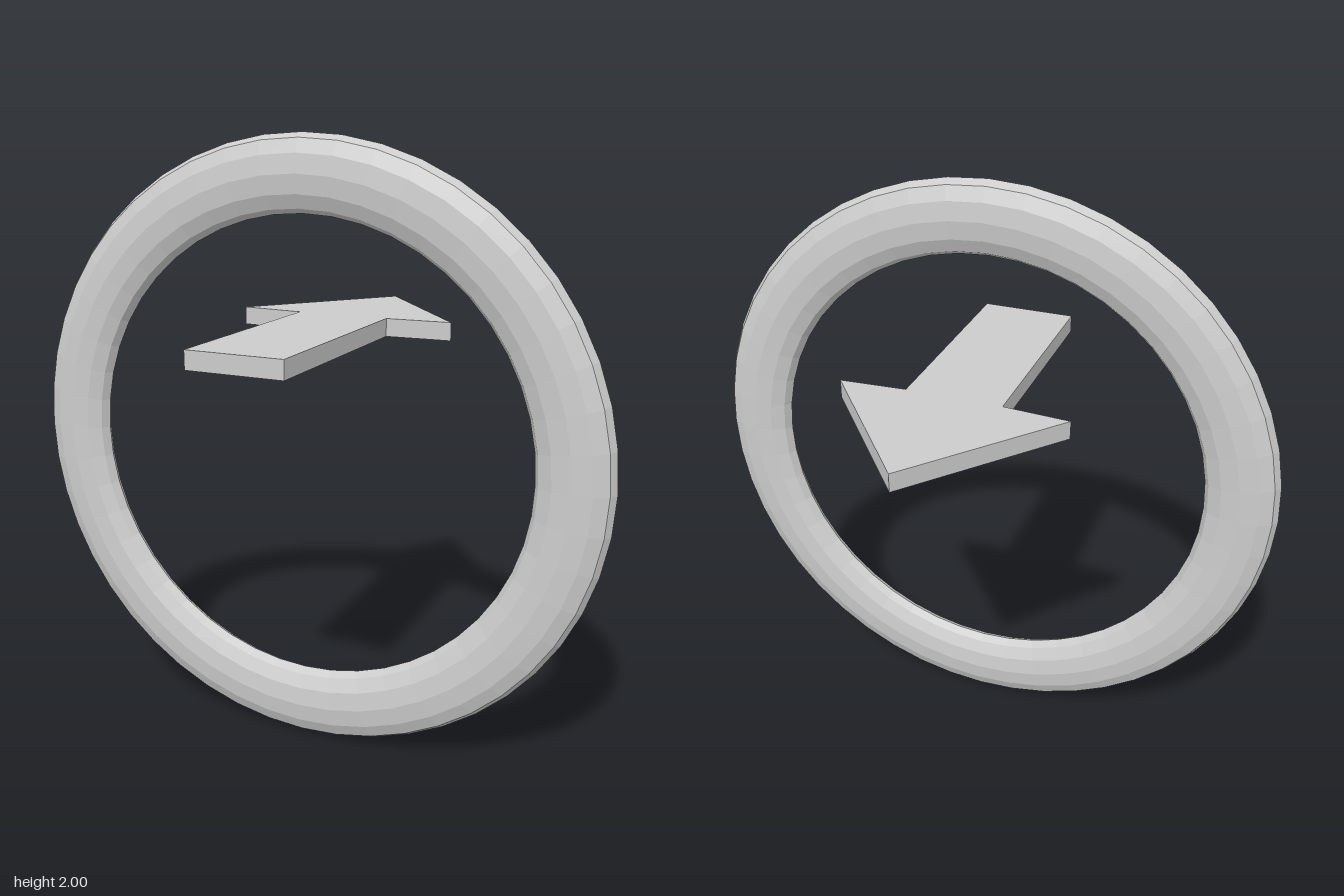
import * as THREE from 'three';

export function createModel() {
  const model = new THREE.Group();
  const material = new THREE.MeshStandardMaterial({ color: 0xcccccc, flatShading: true });

  // Upright hoop with a flattened tube
  const hoopGeometry = new THREE.TorusGeometry(0.88, 0.12, 12, 48);
  hoopGeometry.scale(1, 1, 0.46);
  const hoop = new THREE.Mesh(hoopGeometry, material);
  hoop.name = 'hoop';
  hoop.position.set(0, 1, 0.165);
  model.add(hoop);

  // Flat arrow passing through the hoop, pointing to the back
  const half = [[0.16, -0.605], [0.16, 0.13], [0.38, 0.145]];
  const outline = [
    ...half,
    [0, 0.61],
    ...half.map(([x, y]) => [-x, y]).reverse(),
  ];
  const shape = new THREE.Shape(outline.map(([x, y]) => new THREE.Vector2(x, y)));
  const arrowGeometry = new THREE.ExtrudeGeometry(shape, { depth: 0.06, bevelEnabled: false });
  arrowGeometry.rotateX(-Math.PI / 2);
  const arrow = new THREE.Mesh(arrowGeometry, material);
  arrow.name = 'arrow';
  arrow.position.y = 1.345;
  model.add(arrow);

  return model;
}
